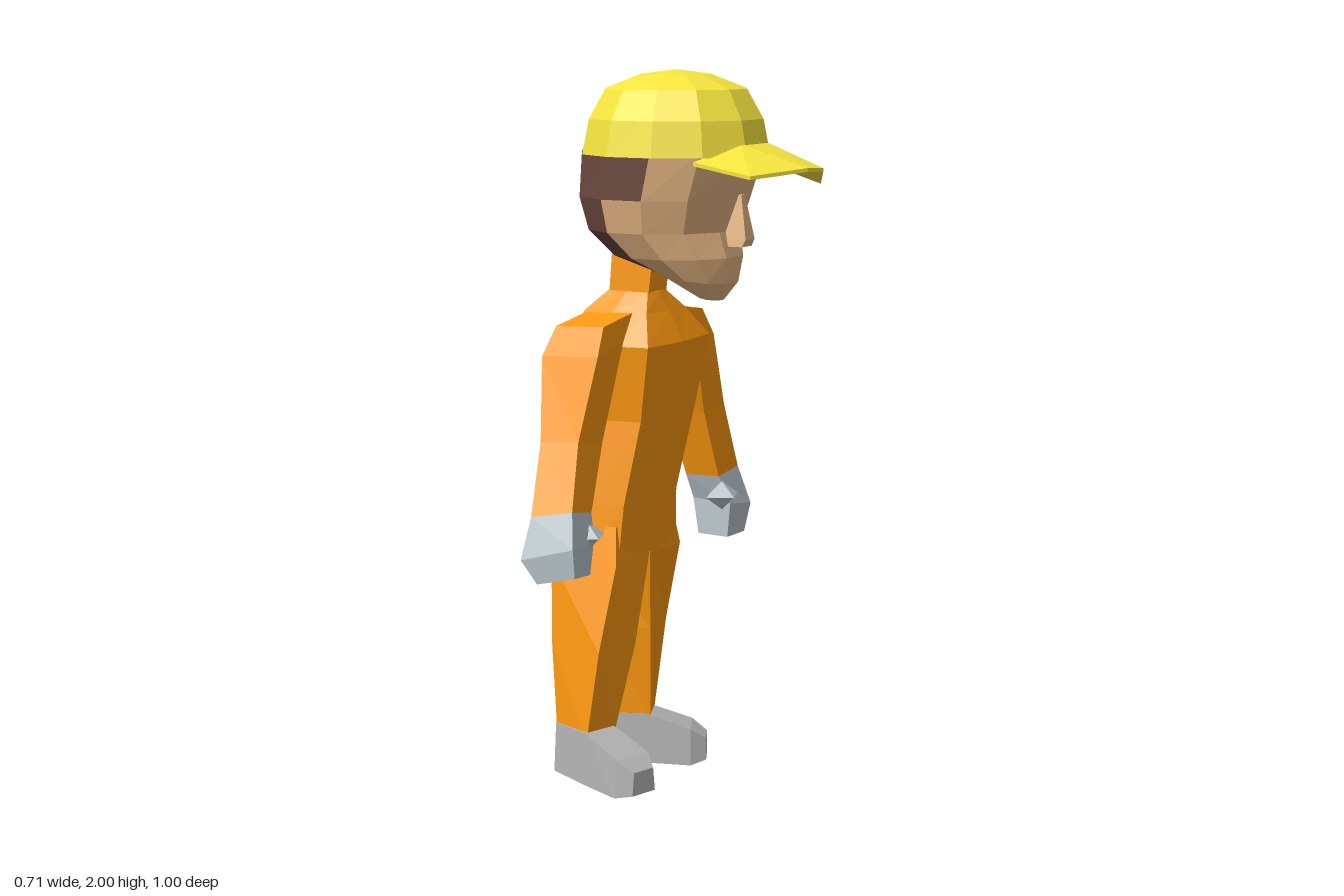
import * as THREE from 'three';

const SQUARE = [[1, 1], [1, -1], [-1, -1], [-1, 1]];
const CHAMFER = [[1, 0], [0.9, -0.88], [0, -1], [-0.9, -0.88], [-1, 0], [-0.9, 0.88], [0, 1], [0.9, 0.88]];
const ROUND = Array.from({ length: 12 }, (_, i) => {
  const a = THREE.MathUtils.degToRad(15 + 30 * i);
  return [Math.cos(a), -Math.sin(a)];
});
const YAW = 18; // the figure is turned a little to its right

const mats = {};
for (const [name, color] of Object.entries({
  suit: 0xff9a10, cap: 0xf5e43e, skin: 0xe8b884, hair: 0x6a483e, glove: 0xbac6cc, shoe: 0xb2b2b2,
})) mats[name] = new THREE.MeshStandardMaterial({ color, flatShading: true, side: THREE.DoubleSide });

// One cross-section: centre, half depth, half width, yaw, slope of y along x and z
function ring(shape, cx, y, cz, hf, hs, yaw = 0, slopeX = 0, slopeZ = 0) {
  const a = THREE.MathUtils.degToRad(yaw), c = Math.cos(a), s = Math.sin(a);
  return shape.map(([f, w]) => {
    const dx = f * hf * c + w * hs * s, dz = -f * hf * s + w * hs * c;
    return [cx + dx, y + slopeX * dx + slopeZ * dz, cz + dz];
  });
}

// Skin a list of rings, capping both ends; keep(row, column) can select faces
function loft(rings, keep = () => true) {
  const n = rings[0].length, tris = [];
  const mid = (r) => [0, 1, 2].map((k) => r.reduce((t, p) => t + p[k], 0) / n);
  const first = mid(rings[0]), last = mid(rings[rings.length - 1]);
  for (let j = 0; j < n; j++) {
    const k = (j + 1) % n;
    for (let i = 0; i < rings.length - 1; i++) {
      const [a, b, c, d] = [rings[i][j], rings[i][k], rings[i + 1][k], rings[i + 1][j]];
      tris.push([i, j, a, b, c], [i, j, a, c, d]);
    }
    tris.push([-1, j, first, rings[0][k], rings[0][j]]);
    tris.push([rings.length - 1, j, last, rings[rings.length - 1][j], rings[rings.length - 1][k]]);
  }
  // Signed volume tells whether the faces point outwards
  const v = (p) => new THREE.Vector3(...p);
  const o = v(first);
  const volume = tris.reduce((t, [, , a, b, c]) =>
    t + v(a).sub(o).dot(v(b).sub(o).cross(v(c).sub(o))), 0);
  const pos = tris.filter(([i, j]) => keep(i, j))
    .flatMap(([, , a, b, c]) => (volume > 0 ? [a, b, c] : [a, c, b]).flat());
  const geo = new THREE.BufferGeometry();
  geo.setAttribute('position', new THREE.Float32BufferAttribute(pos, 3));
  geo.computeVertexNormals();
  return geo;
}

function add(parent, name, geo, mat) {
  const mesh = new THREE.Mesh(geo, mats[mat]);
  mesh.name = name;
  parent.add(mesh);
  return mesh;
}

function makeHead() {
  const head = new THREE.Group();
  head.name = 'head';
  // Face and hair share one skull: [y, back, front, half width]
  const skull = [
    [1.385, 0.075, 0.145, 0.045], [1.445, -0.04, 0.18, 0.13], [1.5, -0.17, 0.19, 0.185],
    [1.57, -0.245, 0.175, 0.225], [1.66, -0.272, 0.205, 0.248], [1.785, -0.268, 0.248, 0.25],
  ].map(([y, b, f, w]) => ring(ROUND, (b + f) / 2, y, 0, (f - b) / 2, w, 0, y < 1.5 ? -0.15 : 0));
  const isHair = (i, j) => {
    const fromBack = Math.abs(180 - (30 + 30 * j));
    return i >= 1 && i <= 4 && fromBack < (i === 4 ? 100 : 70);
  };
  add(head, 'face', loft(skull, (i, j) => !isHair(i, j)), 'skin');
  add(head, 'hair', loft(skull, isHair), 'hair');

  // Nose: a wedge, narrow at the bridge
  add(head, 'nose', loft([
    ring(SQUARE, 0.185, 1.53, 0, 0.035, 0.028), ring(SQUARE, 0.185, 1.55, 0, 0.045, 0.026),
    ring(SQUARE, 0.19, 1.67, 0, 0.018, 0.01),
  ]), 'skin');

  // Cap crown
  add(head, 'capCrown', loft([[1.775, 0.263], [1.87, 0.244], [1.95, 0.198], [1.988, 0.1], [2.0, 0.01]]
    .map(([y, r]) => ring(ROUND, 0, y, 0, r, r))), 'cap');

  // Cap brim: arched slab between the crown and the outer edge, as [depth, y, side]
  const inner = [[0.165, 1.755, -0.2], [0.235, 1.81, -0.07], [0.235, 1.81, 0.07], [0.165, 1.765, 0.2]];
  const outer = [[0.335, 1.7, -0.215], [0.425, 1.745, -0.045], [0.425, 1.75, 0.045], [0.34, 1.735, 0.21]];
  const drop = ([x, y, z]) => [x, y - 0.01, z];
  add(head, 'capBrim', loft(inner.map((p, i) => [p, outer[i], drop(outer[i]), drop(p)])), 'cap');

  head.rotation.y = THREE.MathUtils.degToRad(YAW);
  head.position.set(-0.064, 0, -0.077);
  return head;
}

// Shoe built heel to toe: [distance, half width, bottom, top]
function makeShoe(name, x, y, z, yaw) {
  const shoe = add(new THREE.Group(), name, loft([
    [-0.155, 0.052, 0.012, 0.15], [-0.02, 0.062, 0.005, 0.15], [0.11, 0.068, 0, 0.105], [0.155, 0.042, 0.01, 0.075],
  ].map(([d, w, b, t]) => [[d, b, w], [d, b, -w], [d, t, -w * 0.85], [d, t, w * 0.85]])), 'shoe');
  shoe.position.set(x, y, z);
  shoe.rotation.y = THREE.MathUtils.degToRad(yaw);
  return shoe;
}

export function createModel() {
  const model = new THREE.Group();
  model.name = 'figure';
  const limb = (name, rows, mat = 'suit') => add(model, name, loft(rows.map((r) => ring(SQUARE, ...r))), mat);

  // Torso and neck
  add(model, 'torso', loft([
    [-0.2, 0.665, 0.018, 0.105, 0.18], [-0.2, 0.82, 0.02, 0.118, 0.165], [-0.185, 1.05, -0.025, 0.125, 0.17],
    [-0.167, 1.26, -0.033, 0.142, 0.195], [-0.165, 1.345, -0.015, 0.11, 0.12], [-0.14, 1.4, 0, 0.07, 0.055],
  ].map((r) => ring(CHAMFER, ...r, YAW))), 'suit');
  limb('neck', [[-0.14, 1.37, 0, 0.062, 0.048, YAW], [-0.13, 1.52, -0.01, 0.065, 0.05, YAW]]);

  // Arms
  limb('leftArm', [
    [-0.11, 1.335, 0.18, 0.075, 0.075, YAW, 0, -0.15], [-0.1, 1.26, 0.23, 0.088, 0.066, YAW, 0, -0.2],
    [-0.065, 1.02, 0.3, 0.058, 0.065, 20, 0.1, 0.1], [-0.01, 0.84, 0.383, 0.06, 0.06, 25, 0.25, 0.1],
  ]);
  limb('rightArm', [
    [-0.225, 1.335, -0.19, 0.075, 0.07, YAW, 0, 0.15], [-0.24, 1.26, -0.245, 0.085, 0.058, YAW, 0, 0.2],
    [-0.255, 1.02, -0.33, 0.062, 0.055, 15, 0, -0.1], [-0.25, 0.825, -0.39, 0.056, 0.054, 15, 0, -0.15],
  ]);

  // Gloved hands with pointed thumbs
  limb('leftHand', [
    [-0.01, 0.84, 0.383, 0.06, 0.06, 25, 0.25, 0.1], [0.005, 0.75, 0.41, 0.076, 0.066, 25, 0.25, -0.1],
    [0.03, 0.675, 0.41, 0.055, 0.048, 25, 0.25, 0],
  ], 'glove');
  limb('rightHand', [
    [-0.25, 0.825, -0.39, 0.056, 0.054, 15, 0, -0.15], [-0.243, 0.73, -0.425, 0.064, 0.058, 15, 0, 0.15],
    [-0.235, 0.635, -0.415, 0.05, 0.048, 15, 0, 0],
  ], 'glove');
  for (const [name, x, y, z] of [['leftThumb', 0.03, 0.78, 0.33], ['rightThumb', -0.17, 0.765, -0.355]]) {
    const thumb = add(model, name, new THREE.OctahedronGeometry(1), 'glove');
    thumb.position.set(x, y, z);
    thumb.scale.set(0.05, 0.042, 0.062);
  }

  // Legs, starting inside the hips
  limb('leftLeg', [
    [-0.175, 0.76, 0.1, 0.09, 0.075, YAW], [-0.172, 0.655, 0.11, 0.105, 0.09, YAW],
    [-0.145, 0.42, 0.16, 0.09, 0.074, 6], [-0.135, 0.17, 0.2, 0.064, 0.05, 0],
  ]);
  limb('rightLeg', [
    [-0.22, 0.76, -0.05, 0.09, 0.075, YAW], [-0.226, 0.655, -0.068, 0.098, 0.085, YAW],
    [-0.25, 0.42, -0.085, 0.072, 0.074, 30], [-0.258, 0.14, -0.088, 0.054, 0.054, 42],
  ]);

  // Shoes: the left points ahead, the right turns out
  model.add(makeShoe('leftShoe', -0.045, 0.045, 0.205, 2));
  model.add(makeShoe('rightShoe', -0.213, 0.005, -0.125, 45));

  model.add(makeHead());
  return model;
}
